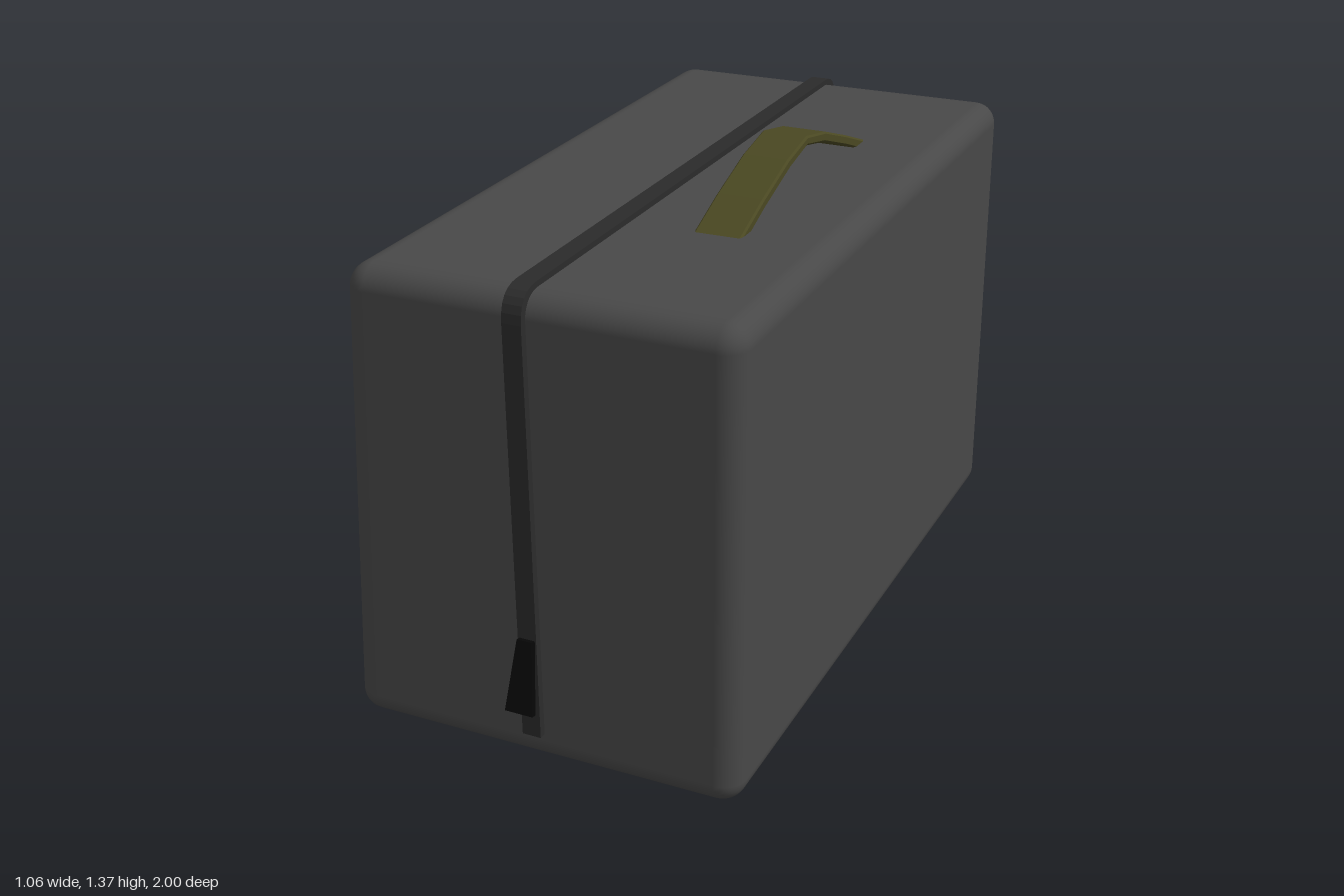
import * as THREE from 'three';
import { RoundedBoxGeometry } from 'three/addons/geometries/RoundedBoxGeometry.js';

const material = (color) => new THREE.MeshStandardMaterial({ color });

function part(name, geometry, mat, parent) {
  const mesh = new THREE.Mesh(geometry, mat);
  mesh.name = name;
  parent.add(mesh);
  return mesh;
}

// Moves every vertex of a geometry by a rule.
function deform(geometry, rule) {
  const p = geometry.attributes.position;
  const v = new THREE.Vector3();
  for (let i = 0; i < p.count; i++) {
    v.fromBufferAttribute(p, i);
    rule(v);
    p.setXYZ(i, v.x, v.y, v.z);
  }
  return geometry;
}

// Extrudes a (z, y) profile across x, centred on the given x.
function sideExtrude(shape, width, x, bevel) {
  const geometry = new THREE.ExtrudeGeometry(shape, {
    depth: width - 2 * bevel, curveSegments: 6, bevelEnabled: bevel > 0,
    bevelThickness: bevel, bevelSize: bevel, bevelOffset: -bevel, bevelSegments: 1,
  });
  geometry.rotateY(-Math.PI / 2);
  return geometry.translate(x + width / 2 - bevel, 0, 0);
}

export function createModel() {
  const group = new THREE.Group();
  const fabric = material(0x484848);
  const tape = material(0x2b2b2b);
  const black = material(0x070707);
  const olive = material(0x4a4822);

  // Soft case: right-angled on the left side, sloping outwards on the other
  const slope = 0.055;
  const body = new RoundedBoxGeometry(1.01, 1.235, 1.9, 4, 0.06);
  body.translate(0.025, 0.6275, -0.025);
  deform(body, (v) => {
    const across = (0.53 - v.x) / 1.01;
    v.x -= slope * across * (1 - v.y / 1.245);
    v.y -= 0.006 * across;
  });
  part('caseBody', body, fabric, group);

  // Zip tape running up the front, over the top and down the back
  const front = 0.945, back = -1.0, top = 1.257, low = 0.09, t = 0.045, r = 0.08;
  const zip = new THREE.Shape();
  zip.moveTo(front, low);
  zip.lineTo(front, top - r);
  zip.quadraticCurveTo(front, top, front - r, top);
  zip.lineTo(back + r, top);
  zip.quadraticCurveTo(back, top, back, top - r);
  zip.lineTo(back, low);
  zip.lineTo(back + t, low);
  zip.lineTo(back + t, top - r);
  zip.quadraticCurveTo(back + t, top - t, back + r, top - t);
  zip.lineTo(front - r, top - t);
  zip.quadraticCurveTo(front - t, top - t, front - t, top - r);
  zip.lineTo(front - t, low);
  zip.closePath();
  const zipGeometry = sideExtrude(zip, 0.05, -0.006, 0);
  deform(zipGeometry, (v) => { v.x -= 0.01 * v.y; });
  part('zipTape', zipGeometry, tape, group);

  // Flared zip pull hanging away from the front
  const pull = new THREE.BoxGeometry(0.06, 0.185, 0.016);
  deform(pull, (v) => { v.x *= v.y > 0 ? 0.68 : 1.25; });
  const pullMesh = part('zipPull', pull, black, group);
  pullMesh.position.set(-0.009, 0.275, 0.972);
  pullMesh.rotation.x = -0.22;

  // Arched strap handle
  const arch = [[0.41, 1.238], [0.26, 1.298], [0.1, 1.352], [-0.025, 1.377],
    [-0.155, 1.352], [-0.31, 1.298], [-0.47, 1.238]];
  const strap = new THREE.Shape();
  arch.forEach(([z, y], i) => (i ? strap.lineTo(z, y) : strap.moveTo(z, y)));
  [...arch].reverse().forEach(([z, y]) => strap.lineTo(z + (z > -0.025 ? -0.01 : 0.01) * (z !== -0.025), y - 0.025));
  strap.closePath();
  part('handle', sideExtrude(strap, 0.125, 0.239, 0.005), olive, group);

  // Two long dark bands lying on the sloping side
  for (const [name, y] of [['upperBand', 1.055], ['lowerBand', 0.885]]) {
    const band = part(name, new THREE.BoxGeometry(0.016, 0.112, 1.63), black, group);
    band.position.set(-0.48 - slope * (1 - y / 1.245) - 0.005, y, -0.025);
    band.rotation.z = -slope / 1.245;
  }

  return group;
}
